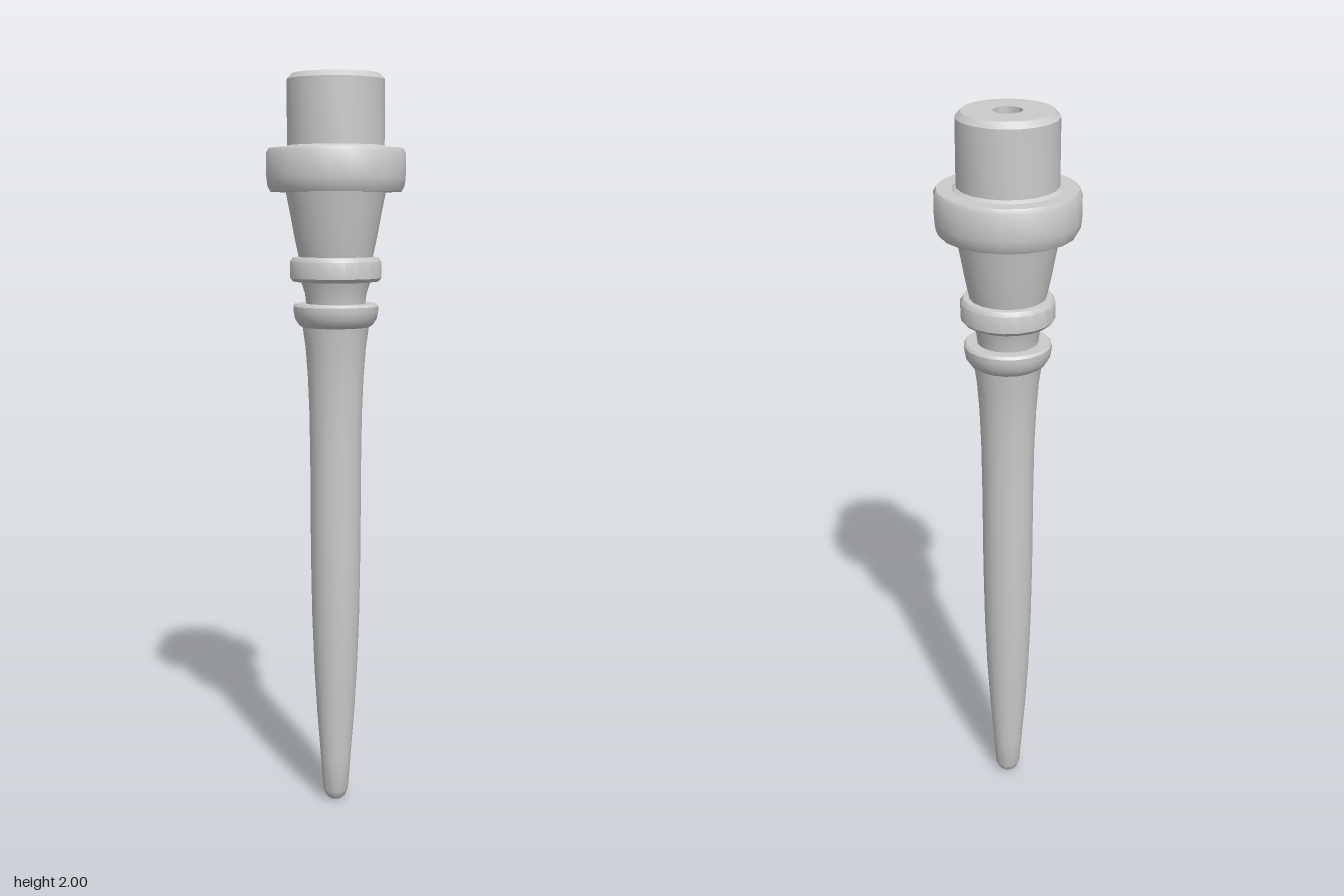
import * as THREE from 'three';
import { toCreasedNormals } from 'three/addons/utils/BufferGeometryUtils.js';

const SIDES = 20;

// Profiles are [radius, height] pairs running upwards along the outside; each
// part starts where the one below it ends, so the turned skin is continuous.
const PARTS = {
  taperedShaft: [
    [0, 0], [0.018, 0.003], [0.028, 0.012], [0.035, 0.03], [0.042, 0.12], [0.052, 0.25],
    [0.06, 0.38], [0.066, 0.54], [0.069, 0.72], [0.07, 0.95], [0.072, 1.1],
    [0.076, 1.2], [0.082, 1.28], [0.09, 1.337],
  ],
  lowerBead: [
    [0.09, 1.337], [0.1, 1.343], [0.111, 1.36], [0.115, 1.38], [0.115, 1.393],
    [0.109, 1.4], [0.08, 1.4],
  ],
  neck: [[0.08, 1.4], [0.083, 1.425], [0.093, 1.457]],
  upperBead: [
    [0.093, 1.457], [0.115, 1.459], [0.123, 1.468], [0.123, 1.512], [0.115, 1.523],
    [0.1, 1.524],
  ],
  flaredCollar: [[0.1, 1.524], [0.111, 1.575], [0.123, 1.64], [0.134, 1.695]],
  flange: [
    [0.134, 1.695], [0.175, 1.695], [0.183, 1.71], [0.186, 1.73], [0.186, 1.797],
    [0.179, 1.808], [0.14, 1.808],
  ],
  headPlug: [[0.14, 1.808], [0.13, 1.815], [0.13, 1.985], [0.116, 2], [0.037, 2]],
  // Blind bore in the top: down the wall, then in to the centre
  centreBore: [[0.037, 2], [0.037, 1.9], [0, 1.9]],
};

function turned(name, profile) {
  const points = profile.map(([r, y]) => new THREE.Vector2(r, y));
  const geometry = toCreasedNormals(new THREE.LatheGeometry(points, SIDES), 0.65);
  const mesh = new THREE.Mesh(geometry, new THREE.MeshStandardMaterial({ color: 0xcccccc }));
  mesh.name = name;
  return mesh;
}

export function createModel() {
  const model = new THREE.Group();
  model.name = 'turnedSpike';
  for (const [name, profile] of Object.entries(PARTS)) model.add(turned(name, profile));
  return model;
}
